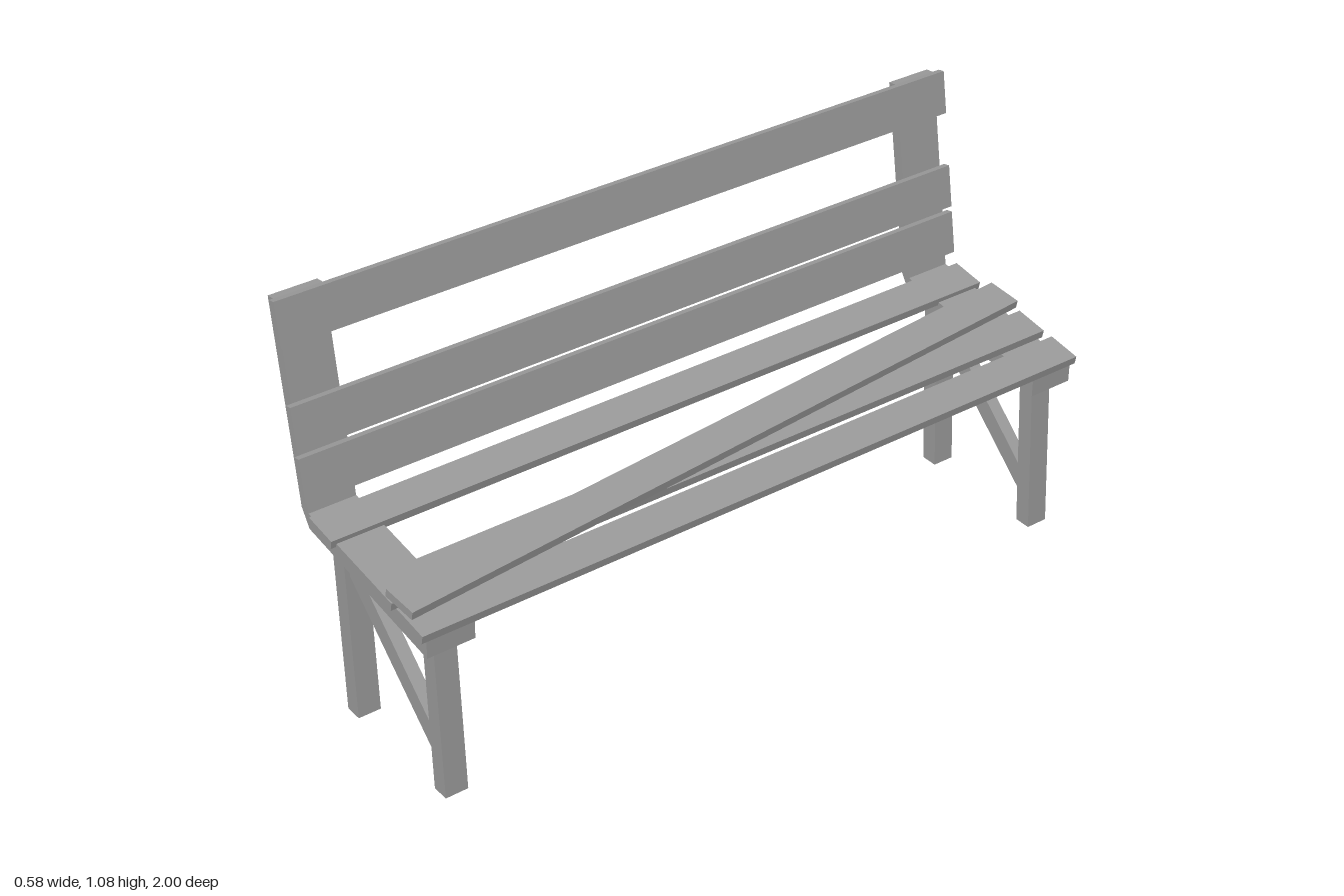
import * as THREE from 'three';

const material = new THREE.MeshStandardMaterial({ color: 0x999999, flatShading: true });
const openMaterial = new THREE.MeshStandardMaterial({ color: 0x999999, flatShading: true, side: THREE.DoubleSide });

// Side profile (x, y points, counter-clockwise) extruded along z about zCentre
function plank(name, points, depth, zCentre) {
  const shape = new THREE.Shape(points.map(([x, y]) => new THREE.Vector2(x, y)));
  const geometry = new THREE.ExtrudeGeometry(shape, { depth, bevelEnabled: false });
  geometry.translate(0, 0, zCentre - depth / 2);
  const mesh = new THREE.Mesh(geometry, material);
  mesh.name = name;
  return mesh;
}

// Hollow leg with open ends; corners are bottom left, bottom right, top left, top right
function leg(name, corners, zCentre) {
  const geometry = new THREE.BoxGeometry(1, 1, 0.062);
  const index = Array.from(geometry.index.array);
  index.splice(12, 12); // drop the top and bottom faces
  geometry.setIndex(index);
  const p = geometry.attributes.position;
  for (let i = 0; i < p.count; i++) {
    const [x, y] = corners[(p.getY(i) > 0 ? 2 : 0) + (p.getX(i) > 0 ? 1 : 0)];
    p.setXYZ(i, x, y, p.getZ(i) + zCentre);
  }
  geometry.computeVertexNormals();
  const mesh = new THREE.Mesh(geometry, openMaterial);
  mesh.name = name;
  return mesh;
}

// Long board: tilted about z, optionally skewed about its own normal
function board(name, [w, h, length], x, y, tilt, skew = 0) {
  const mesh = new THREE.Mesh(new THREE.BoxGeometry(w, h, length), material);
  mesh.name = name;
  mesh.position.set(x, y, 0);
  mesh.rotation.set(0, skew, tilt, 'ZYX');
  return mesh;
}

export function createModel() {
  const bench = new THREE.Group();
  bench.name = 'bench';

  // End frames: bent back post and seat rail, two legs and a diagonal brace
  for (const side of [-1, 1]) {
    const frame = new THREE.Group();
    frame.name = side > 0 ? 'frontEndFrame' : 'rearEndFrame';
    const zRail = side * 0.921, zLeg = side * 0.918;
    frame.add(
      plank('postAndRail', [
        [-0.291, 1.076], [-0.215, 0.56], [-0.187, 0.514], [0.283, 0.411],
        [0.284, 0.458], [-0.187, 0.555], [-0.263, 1.078],
      ], 0.129, zRail),
      leg('backLeg', [[-0.135, 0.021], [-0.09, 0.018], [-0.155, 0.509], [-0.11, 0.499]], zLeg),
      leg('frontLeg', [[0.227, 0.003], [0.271, 0], [0.208, 0.429], [0.252, 0.42]], zLeg),
      plank('brace', [[-0.107, 0.405], [0.224, 0.075], [0.221, 0.147], [-0.108, 0.476]], 0.035, zLeg),
    );
    bench.add(frame);
  }

  // Backrest boards
  [[-0.244, 1.027], [-0.2075, 0.7735], [-0.189, 0.647]].forEach(([x, y], i) =>
    bench.add(board(`backSlat${i + 1}`, [0.019, 0.113, 2], x, y, 0.145)));

  // Seat boards
  const seatSize = [0.093, 0.022, 2];
  [[-0.117, 0.543], [0.124, 0.503], [0.244, 0.479]].forEach(([x, y], i) =>
    bench.add(board(`seatSlat${i + 1}`, seatSize, x, y, -0.215)));

  // Loose board lying askew across the seat
  bench.add(board('looseSlat', [0.093, 0.022, 1.998], 0.11, 0.53, -0.205, 0.087));

  return bench;
}
